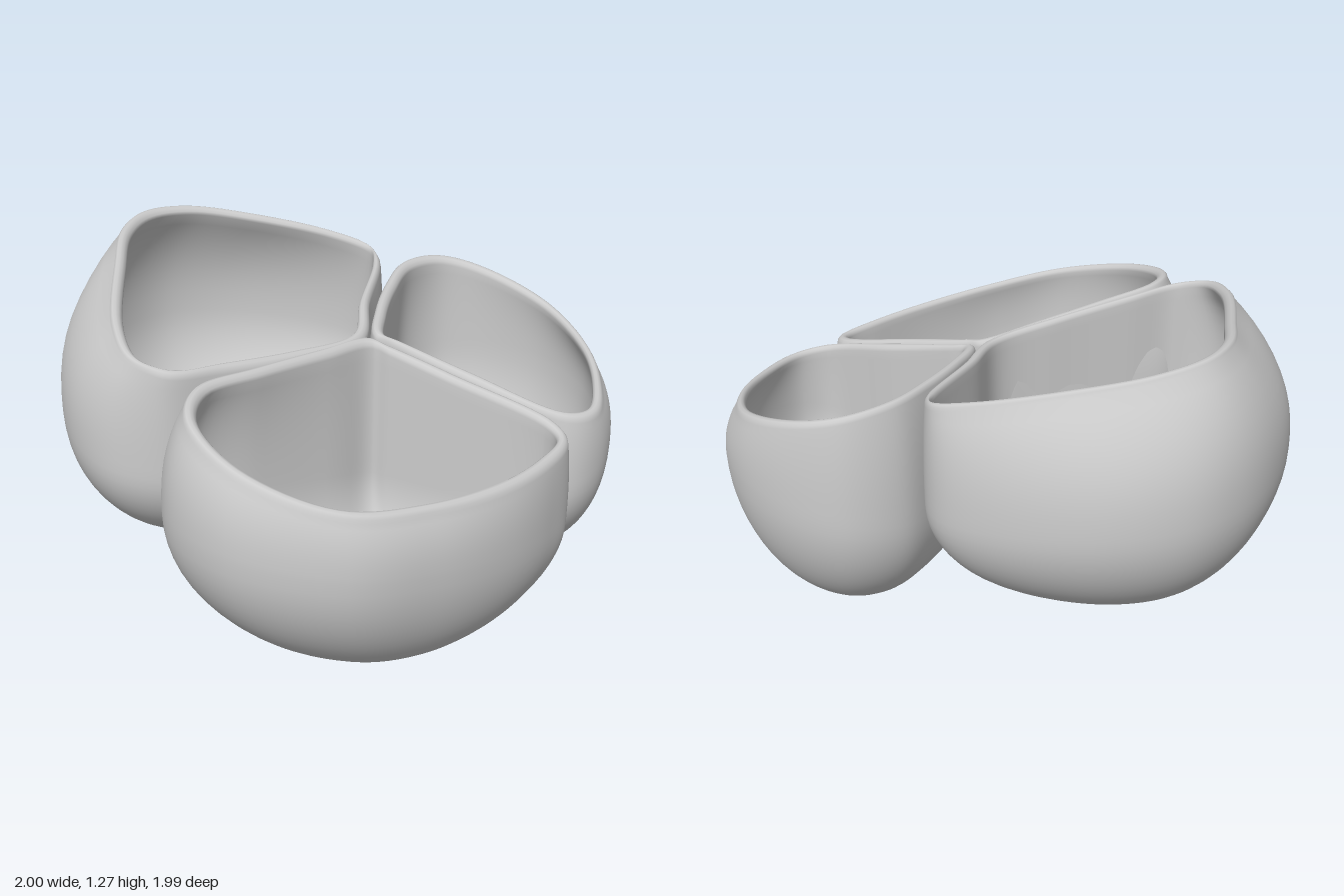
import * as THREE from 'three';

const SEG = 112;            // points around each pod
const RIM = 0.045;          // width of the rolled lip
const ROLL = 0.025;         // height of the rolled lip
const WALL = 0.06;          // wall thickness at the belly
const rimY = (x) => 1.035 - 0.29 * x;   // shared, tilted plane of the three rims

// Closed smooth outline in plan, sampled so that paired outlines stay in step
function outline(points) {
  const curve = new THREE.CatmullRomCurve3(
    points.map(([x, z]) => new THREE.Vector3(x, 0, z)), true, 'centripetal');
  return Array.from({ length: SEG }, (_, i) => curve.getPoint(i / SEG));
}

// Each point of one outline moved a fixed distance toward its partner on another
function toward(from, to, distance) {
  return from.map((p, i) => p.clone().lerp(to[i], Math.min(1, distance / p.distanceTo(to[i]))));
}

// Outline with its corners rounded off, for the lower part of a pod
function rounded(points, reach = 12) {
  return points.map((_, i) => {
    const sum = new THREE.Vector3();
    for (let k = -reach; k <= reach; k++) sum.add(points[(i + k + SEG) % SEG]);
    return sum.divideScalar(2 * reach + 1);
  });
}

// Point of the bowl below the belly: a = 0 at the belly, 1 at the pole
function bowlPoint(edge, round, bottom, floorY, yb, a) {
  const s = Math.sin(a * Math.PI / 2), c = Math.pow(Math.max(0, Math.cos(a * Math.PI / 2)), 0.82);
  const p = edge.clone().lerp(round, s * s);
  return new THREE.Vector3(
    bottom.x + (p.x - bottom.x) * c, yb - (yb - floorY) * s, bottom.z + (p.z - bottom.z) * c);
}

// Point of the wall between belly and lip, curling in towards the top
function wallPoint(edge, top, yb, s) {
  const p = edge.clone().lerp(top, s ** 2.5);
  p.y = yb + (rimY(top.x) - ROLL - yb) * s;
  return p;
}

function pod(name, { belly, mouth, bottom, bellyY }) {
  const outer = outline(belly), open = outline(mouth);
  const base = new THREE.Vector3(...bottom);
  const lips = toward(open, outer, RIM), inner = toward(outer, open, WALL);
  const outerRound = rounded(outer), innerRound = rounded(inner);

  // Each station runs from the pole up the outside, over the lip and down the inside
  const stations = outer.map((edge, i) => {
    const pts = [], yb = bellyY(edge), lip = lips[i];
    for (let k = 0; k <= 20; k++)
      pts.push(bowlPoint(edge, outerRound[i], base, base.y, yb, 1 - k / 20));
    for (let k = 1; k <= 10; k++) pts.push(wallPoint(edge, lip, yb, k / 10));
    for (let k = 1; k < 6; k++) {
      const a = Math.PI * k / 6;
      const p = lip.clone().lerp(open[i], (1 - Math.cos(a)) / 2);
      p.y = rimY(p.x) - ROLL + ROLL * Math.sin(a);
      pts.push(p);
    }
    for (let k = 10; k >= 1; k--) pts.push(wallPoint(inner[i], open[i], yb, k / 10));
    for (let k = 0; k <= 20; k++)
      pts.push(bowlPoint(inner[i], innerRound[i], base, base.y + 0.05, yb, k / 20));
    return pts;
  });

  const rows = stations[0].length;
  const pos = [], idx = [];
  for (let j = 0; j < rows; j++) {
    for (let i = 0; i < SEG; i++) {
      pos.push(...stations[i][j].toArray());
      const n = (i + 1) % SEG;
      const a = j * SEG + i, b = j * SEG + n, c = a + SEG, d = b + SEG;
      if (j < rows - 2) idx.push(b, c, d);
      if (j > 0 && j < rows - 1) idx.push(a, c, b);
    }
  }
  const geo = new THREE.BufferGeometry();
  geo.setAttribute('position', new THREE.Float32BufferAttribute(pos, 3));
  geo.setIndex(idx);
  geo.computeVertexNormals();
  const mesh = new THREE.Mesh(geo, new THREE.MeshStandardMaterial({
    color: 0xcccccc, side: THREE.DoubleSide }));
  mesh.name = name;
  return mesh;
}

// Widest outline and mouth outline of each pod as matching [x, z] pairs
const PODS = {
  rightPod: {
    bottom: [-0.4, 0.2, 0.06],
    bellyY: ({ x }) => 0.64 - 0.13 * x,
    belly: [[-1, 0], [-0.96, -0.2], [-0.8, -0.42], [-0.5, -0.61], [-0.25, -0.67], [-0.1, -0.6],
      [0.05, -0.3], [0.17, -0.06], [0.11, 0.25], [0, 0.55], [-0.1, 0.73], [-0.3, 0.82],
      [-0.53, 0.76], [-0.83, 0.49], [-0.965, 0.22]],
    mouth: [[-0.8, -0.02], [-0.74, -0.2], [-0.58, -0.37], [-0.33, -0.56], [-0.17, -0.61], [-0.11, -0.54],
      [0.02, -0.25], [0.13, -0.04], [0.07, 0.22], [-0.03, 0.5], [-0.1, 0.68], [-0.19, 0.73],
      [-0.35, 0.64], [-0.62, 0.33], [-0.76, 0.14]],
  },
  frontLeftPod: {
    bottom: [0.54, 0, 0.19],
    bellyY: ({ z }) => 0.45 + 0.19 * z,
    belly: [[0.17, -0.08], [0.24, -0.1], [0.5, -0.16], [0.86, -0.25], [0.96, -0.2], [0.995, 0], [0.98, 0.25],
      [0.89, 0.55], [0.72, 0.83], [0.36, 0.99], [0.05, 0.92], [-0.1, 0.72], [-0.01, 0.45], [0.09, 0.15]],
    mouth: [[0.215, -0.05], [0.28, -0.065], [0.5, -0.11], [0.85, -0.185], [0.92, -0.15], [0.935, 0], [0.91, 0.23],
      [0.8, 0.56], [0.64, 0.8], [0.35, 0.89], [0.12, 0.82], [0.04, 0.68], [0.09, 0.43], [0.16, 0.15]],
  },
  backLeftPod: {
    bottom: [0.48, 0.03, -0.52],
    bellyY: ({ z }) => 0.42 - 0.22 * z,
    belly: [[0.17, -0.1], [0.07, -0.25], [-0.02, -0.45], [-0.085, -0.67], [-0.01, -0.86], [0.18, -0.97],
      [0.45, -0.99], [0.71, -0.89], [0.9, -0.67], [0.975, -0.43], [0.91, -0.27], [0.55, -0.18], [0.24, -0.115]],
    mouth: [[0.21, -0.145], [0.13, -0.27], [0.05, -0.46], [0, -0.66], [0.05, -0.82], [0.19, -0.9],
      [0.47, -0.905], [0.71, -0.77], [0.85, -0.58], [0.91, -0.4], [0.85, -0.3], [0.54, -0.225], [0.28, -0.16]],
  },
};

export function createModel() {
  const group = new THREE.Group();
  group.name = 'threePodBowl';
  for (const [name, spec] of Object.entries(PODS)) group.add(pod(name, spec));
  return group;
}
